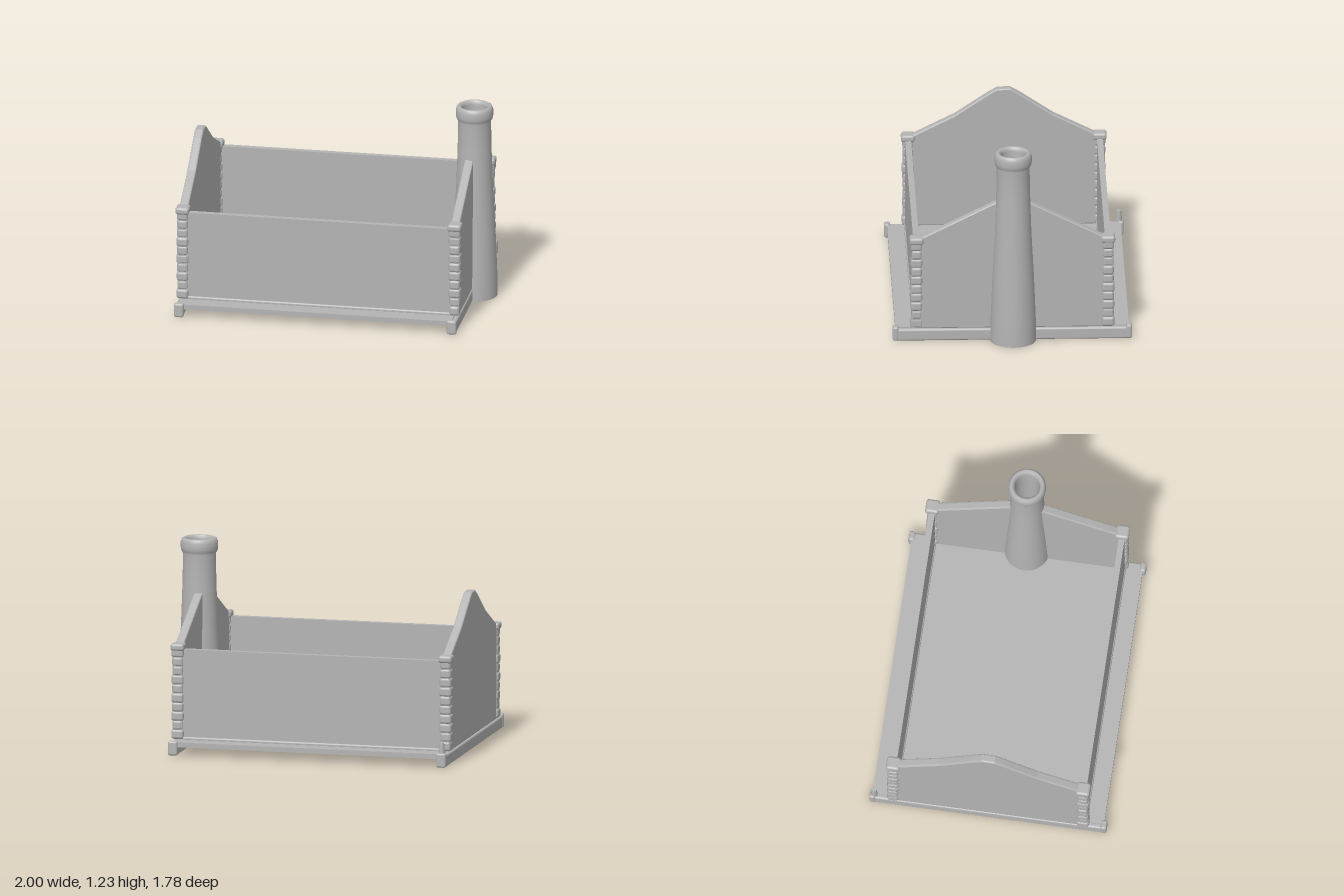
import * as THREE from 'three';
import { RoundedBoxGeometry } from 'three/addons/geometries/RoundedBoxGeometry.js';

export function createModel() {
  const stone = new THREE.MeshStandardMaterial({ color: 0xb4b4b4, side: THREE.DoubleSide });
  stone.name = 'grey stone';
  const root = new THREE.Group();
  root.name = 'rooflessHouse';
  const house = new THREE.Group();
  house.name = 'house';
  house.rotation.y = THREE.MathUtils.degToRad(11.9);
  root.add(house);

  const add = (name, geometry, x = 0, y = 0, z = 0, parent = house) => {
    const mesh = new THREE.Mesh(geometry, stone);
    mesh.name = name;
    mesh.position.set(x, y, z);
    parent.add(mesh);
    return mesh;
  };
  const rounded = (w, h, d, r = 0.012) => new RoundedBoxGeometry(w, h, d, 2, r);

  // Seeded random for the uneven stones
  let seed = 7;
  const rand = () => (seed = (seed * 16807) % 2147483647) / 2147483647;

  // Floor slab
  add('floor', new THREE.BoxGeometry(1.68, 0.03, 1.42), 0, 0.068, 0);

  // Long walls
  for (const s of [1, -1]) {
    const name = s > 0 ? 'frontWall' : 'backWall';
    add(name, new THREE.BoxGeometry(1.66, 0.56, 0.036), 0, 0.36, s * 0.583);
    add(name + 'Foot', rounded(1.66, 0.025, 0.05, 0.01), 0, 0.088, s * 0.583);
  }

  // Gable wall outline: z across, y up, with a small flat at the peak
  const gable = (peak) => {
    const half = [[0.6, 0.08], [0.6, 0.655], [0.55, 0.675], [0.3, 0.8], [0.1, peak - 0.035], [0.04, peak]];
    const pts = [...half, ...half.map(([z, y]) => [-z, y]).reverse()];
    const shape = new THREE.Shape(pts.map(([z, y]) => new THREE.Vector2(z, y)));
    const g = new THREE.ExtrudeGeometry(shape, {
      depth: 0.034, bevelEnabled: true, bevelThickness: 0.01, bevelSize: 0.008, bevelOffset: -0.008, bevelSegments: 2,
    });
    g.translate(0, 0, -0.017);
    g.rotateY(-Math.PI / 2);
    return g;
  };

  for (const s of [1, -1]) {
    const side = s > 0 ? 'left' : 'right';
    add(side + 'Gable', gable(s > 0 ? 0.935 : 0.97), s * 0.838, 0, 0);
    // Base rail below the gable
    add(side + 'BaseRail', rounded(0.05, 0.075, 1.43), s * 0.842, 0.0385, 0);

    for (const t of [1, -1]) {
      // Knobs on the ends of the rails
      add('railEnd', rounded(0.06, 0.088, 0.036), s * 0.842, 0.047, t * 0.71);

      // Corner post of uneven stacked stones
      const post = new THREE.Group();
      post.name = 'cornerPost';
      post.position.set(s * 0.84, 0, t * 0.583);
      house.add(post);
      add('postCore', new THREE.BoxGeometry(0.058, 0.56, 0.058), 0, 0.37, 0, post);
      const count = 10;
      for (let i = 0; i < count; i++) {
        const w = 0.062 + rand() * 0.016, d = 0.062 + rand() * 0.016;
        add('stone', rounded(w, 0.06, d, 0.016), 0, 0.115 + i * 0.056, 0, post);
      }
      add('postCap', rounded(0.085, 0.045, 0.085, 0.016), 0, 0.652, 0, post);
    }
  }

  // Small peg on one back corner of the floor
  add('cornerPeg', new THREE.CylinderGeometry(0.014, 0.024, 0.11, 10), -0.842, 0.1, -0.7);

  // Open chimney with a flared foot and a rounded collar
  const profile = [
    [0.14, 0], [0.138, 0.15], [0.128, 0.4], [0.112, 0.7], [0.103, 0.95], [0.1, 1.13],
    [0.11, 1.145], [0.114, 1.165], [0.114, 1.2], [0.106, 1.22], [0.095, 1.226], [0.082, 1.22],
    [0.074, 1.2], [0.074, 1.1], [0.085, 0.7], [0.12, 0],
  ].map(([r, y]) => new THREE.Vector2(r, y));
  add('chimney', new THREE.LatheGeometry(profile, 32), 0.855, 0, -0.005);

  return root;
}
